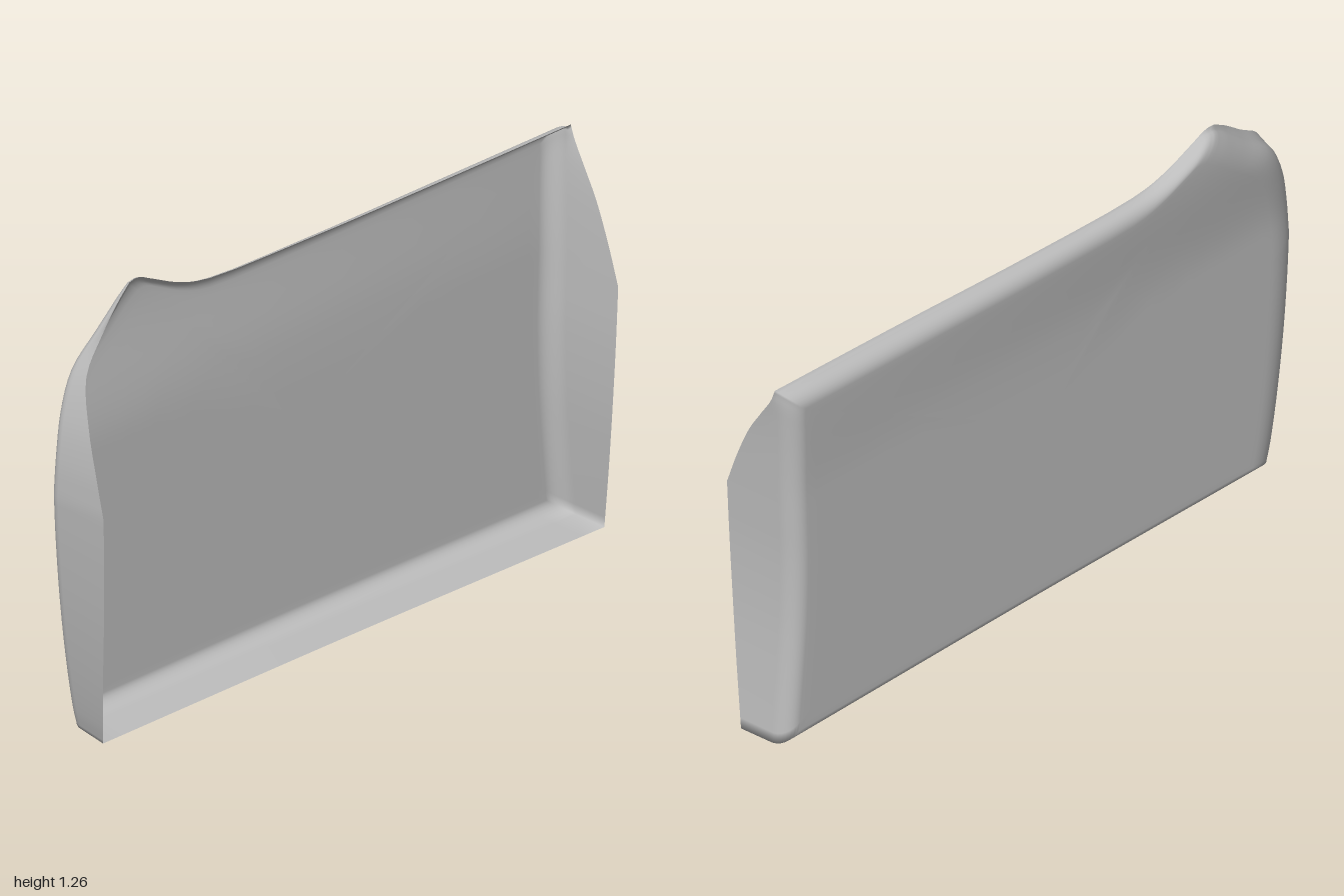
import * as THREE from 'three';

// Free rim of the shell, as smooth runs that meet in corners: [x, y, z]
const rimRuns = [
  // front edge, lower and upper
  [[0.05, 0.003, 0.91], [0.065, 0.06, 0.925], [0.09, 0.2, 0.95], [0.12, 0.4, 0.976], [0.138, 0.6, 0.993], [0.143, 0.74, 1]],
  [[0.143, 0.74, 1], [0.105, 0.85, 0.99], [0.045, 0.97, 0.96], [-0.025, 1.08, 0.9], [-0.065, 1.16, 0.8], [-0.085, 1.225, 0.72], [-0.097, 1.262, 0.665]],
  // top edge with the raised hump
  [[-0.097, 1.262, 0.665], [-0.1, 1.265, 0.63], [-0.1, 1.24, 0.57], [-0.098, 1.2, 0.48], [-0.095, 1.175, 0.38], [-0.085, 1.17, 0], [-0.07, 1.18, -0.5], [-0.06, 1.19, -0.985]],
  // back edge, upper and lower
  [[-0.06, 1.19, -0.985], [-0.045, 1.15, -0.985], [0.0, 1.08, -0.98], [0.05, 1.0, -0.975], [0.1, 0.89, -0.97], [0.143, 0.775, -0.966]],
  [[0.143, 0.775, -0.966], [0.138, 0.6, -0.962], [0.12, 0.4, -0.967], [0.09, 0.2, -0.982], [0.055, 0.008, -1]],
  // bottom edge
  [[0.055, 0.008, -1], [0.054, 0.011, 0], [0.05, 0.003, 0.91]],
];

const CENTRE_Y = 0.6;

// Depth of the main face: nearly flat, flaring outwards near the top front
function faceX(y, z) {
  const s = THREE.MathUtils.smoothstep(y, 0.8, 1.22);
  return -0.109 - s * THREE.MathUtils.mapLinear(z, -1, 0.65, 0.012, 0.037);
}

// Rim point moved inwards by a share of the fillet width on each side
function inset(p, t) {
  const wz = p.z > 0 ? 0.12 : 0.06;
  const wy = p.y > CENTRE_Y ? 0.06 : 0.045;
  return [CENTRE_Y + (p.y - CENTRE_Y) * (1 - t * wy / 0.6), p.z * (1 - t * wz)];
}

function shellGeometry() {
  const rim = rimRuns.flatMap((run) => {
    const curve = new THREE.CatmullRomCurve3(run.map((p) => new THREE.Vector3(...p)), false, 'centripetal');
    return curve.getPoints(24).slice(0, -1);
  });
  const n = rim.length;
  const rings = [rim.map((p) => [p.x, p.y, p.z])];

  // side wall, then the rounded bend into the face
  const wallInset = 0.12;
  const bendSteps = 8;
  for (let k = 0; k <= bendSteps; k++) {
    const a = (k / bendSteps) * Math.PI / 2;
    const t = wallInset + (1 - wallInset) * (1 - Math.cos(a));
    rings.push(rim.map((p) => {
      const [y, z] = inset(p, t);
      const fx = faceX(y, z);
      const depth = Math.min(0.06, (p.x - fx) * 0.9);
      return [fx + depth * (1 - Math.sin(a)), y, z];
    }));
  }

  // main face, closing in towards the middle
  for (const s of [0.96, 0.9, 0.82, 0.74, 0.65, 0.5, 0.25, 0]) {
    rings.push(rim.map((p) => {
      const [yi, zi] = inset(p, 1);
      const y = CENTRE_Y + (yi - CENTRE_Y) * s;
      return [faceX(y, zi * s), y, zi * s];
    }));
  }

  const index = [];
  for (let r = 0; r < rings.length - 1; r++) {
    for (let i = 0; i < n; i++) {
      const j = (i + 1) % n;
      const a = r * n + i, b = r * n + j, c = a + n, d = b + n;
      index.push(a, c, b, b, c, d);
    }
  }
  const geometry = new THREE.BufferGeometry();
  geometry.setAttribute('position', new THREE.Float32BufferAttribute(rings.flat(2), 3));
  geometry.setIndex(index);
  geometry.computeVertexNormals();
  // the middle vertices share one normal
  const normal = geometry.attributes.normal;
  for (let i = normal.count - n; i < normal.count; i++) normal.setXYZ(i, ...normalSign(normal, n));
  return geometry;
}

// Direction of the face along x, following the winding
function normalSign(normal, n) {
  return [Math.sign(normal.getX(normal.count - 2 * n)), 0, 0];
}

export function createModel() {
  const grey = new THREE.MeshStandardMaterial({ color: 0xbcbcbc, side: THREE.DoubleSide });
  grey.name = 'panel grey';

  const shell = new THREE.Mesh(shellGeometry(), grey);
  shell.name = 'sidePanelShell';

  const model = new THREE.Group();
  model.name = 'sidePanel';
  model.add(shell);
  return model;
}
